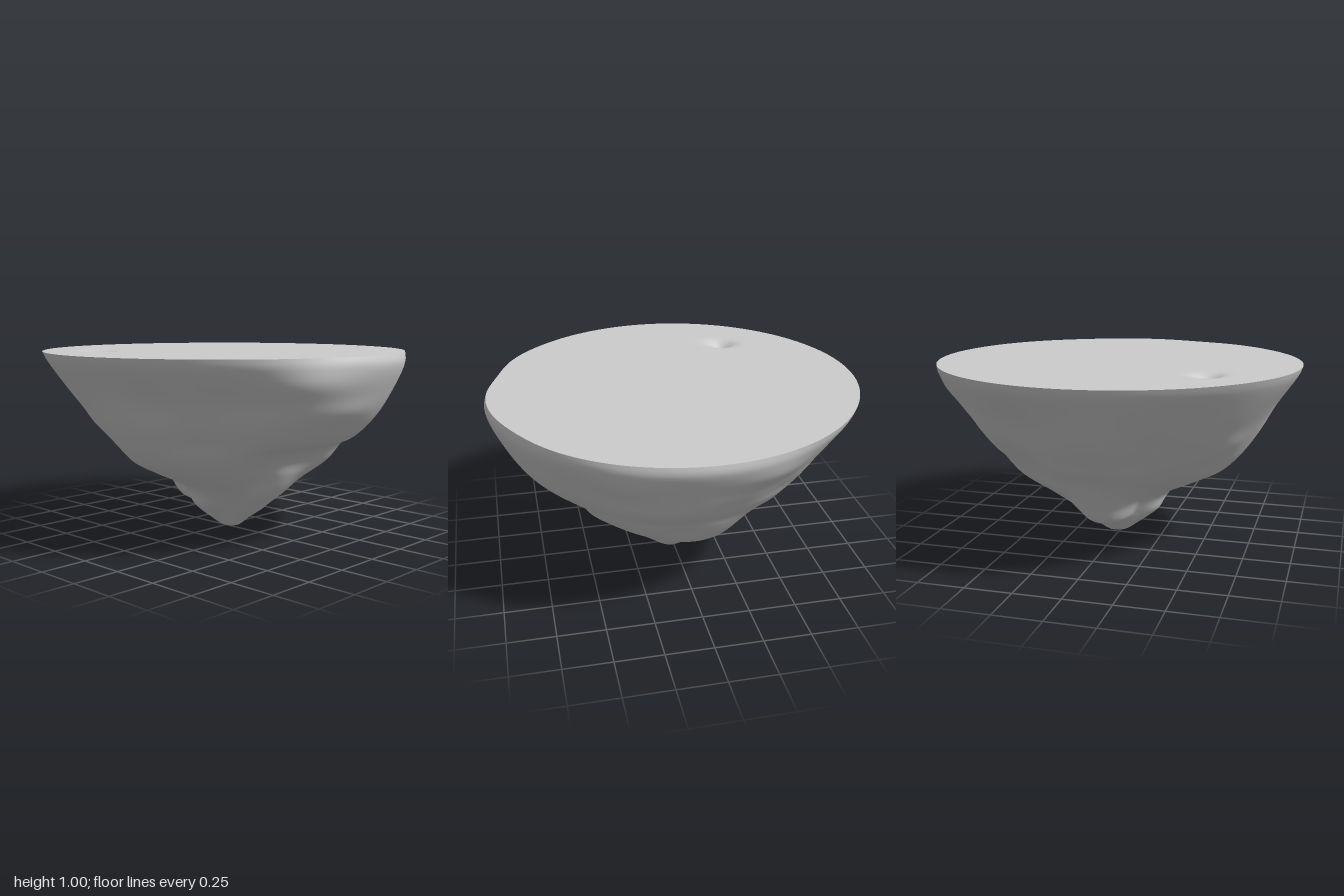
import * as THREE from 'three';

const SEG = 160, RINGS = 80, CAP_RINGS = 70;

// Heights shared by all profiles, rim to tip
const LEVELS = [1, 0.96, 0.8, 0.65, 0.55, 0.5, 0.42, 0.35, 0.25, 0.16, 0.12, 0.06, 0.015, 0];

// Radii at each height, every 45 degrees from +x towards +z
const RADII = [
  [0.985, 0.99, 0.91, 0.83, 0.73, 0.70, 0.64, 0.57, 0.41, 0.27, 0.21, 0.13, 0.06, 0],
  [0.985, 0.985, 0.90, 0.81, 0.72, 0.67, 0.59, 0.50, 0.36, 0.25, 0.20, 0.13, 0.06, 0],
  [0.99, 1.0, 0.94, 0.84, 0.73, 0.60, 0.51, 0.47, 0.40, 0.29, 0.24, 0.14, 0.07, 0],
  [0.98, 0.97, 0.86, 0.77, 0.69, 0.65, 0.57, 0.49, 0.35, 0.24, 0.19, 0.12, 0.06, 0],
  [1.0, 0.985, 0.88, 0.79, 0.72, 0.68, 0.60, 0.47, 0.28, 0.235, 0.19, 0.11, 0.05, 0],
  [1.0, 0.98, 0.86, 0.73, 0.64, 0.59, 0.50, 0.39, 0.25, 0.18, 0.15, 0.09, 0.04, 0],
  [1.0, 0.985, 0.86, 0.74, 0.65, 0.61, 0.53, 0.48, 0.41, 0.34, 0.20, 0.09, 0.04, 0],
  [0.985, 0.97, 0.86, 0.76, 0.65, 0.59, 0.52, 0.46, 0.33, 0.22, 0.17, 0.10, 0.05, 0],
];

// Local swellings and hollows: angle in degrees, height, angular width, height width, amount
const BUMPS = [
  [97, 0.72, 14, 0.06, 0.015], [115, 0.86, 16, 0.07, 0.015], [62, 0.40, 13, 0.08, 0.035],
  [112, 0.32, 10, 0.07, -0.02], [25, 0.85, 12, 0.09, 0.02], [330, 0.67, 9, 0.07, -0.02],
  [340, 0.86, 12, 0.07, 0.02], [350, 0.66, 10, 0.07, -0.015], [322, 0.52, 9, 0.08, 0.03],
  [292, 0.72, 10, 0.16, -0.03], [10, 0.45, 9, 0.08, -0.02], [260, 0.62, 10, 0.22, 0.025],
  [228, 0.45, 14, 0.2, -0.01], [290, 0.35, 10, 0.1, -0.02], [205, 0.62, 9, 0.07, 0.015],
  [162, 0.75, 8, 0.12, -0.02], [107, 1, 12, 0.1, -0.025], [62, 1, 14, 0.08, -0.012],
];

// Smooth periodic interpolation between the eight profiles
function radiusAt(level, angle) {
  const t = (angle / (Math.PI * 2)) * 8;
  const i = Math.floor(t), f = t - i;
  const [a, b, c, d] = [-1, 0, 1, 2].map((k) => RADII[(i + k + 8) % 8][level]);
  return b + 0.5 * f * (c - a + f * (2 * a - 5 * b + 4 * c - d + f * (3 * (b - c) + d - a)));
}

function relief(angle, y) {
  const deg = (angle * 180) / Math.PI;
  let sum = 0.006 * Math.sin(angle * 7 + y * 9) * Math.sin(y * Math.PI);
  for (const [a, h, wa, wh, amount] of BUMPS) {
    const da = ((deg - a + 540) % 360) - 180;
    sum += amount * Math.exp(-((da / wa) ** 2) - ((y - h) / wh) ** 2);
  }
  return sum;
}

// Smooth surface from closed rings of points
function loft(rings, point) {
  const pos = [], index = [];
  for (let j = 0; j <= rings; j++)
    for (let i = 0; i < SEG; i++) pos.push(...point(i, j));
  for (let j = 0; j < rings; j++)
    for (let i = 0; i < SEG; i++) {
      const a = j * SEG + i, b = j * SEG + ((i + 1) % SEG);
      index.push(a, b, a + SEG, b, b + SEG, a + SEG);
    }
  const g = new THREE.BufferGeometry();
  g.setAttribute('position', new THREE.Float32BufferAttribute(pos, 3));
  g.setIndex(index);
  g.computeVertexNormals();
  return g;
}

export function createModel() {
  const group = new THREE.Group();
  group.name = 'floatingIsland';
  const material = new THREE.MeshStandardMaterial({ color: 0xcccccc, side: THREE.DoubleSide });
  const angleOf = (i) => (i / SEG) * Math.PI * 2;

  // One smooth rim-to-tip profile per angle, with the relief added
  const profiles = Array.from({ length: SEG }, (_, i) => {
    const pts = LEVELS.map((y, l) => new THREE.Vector3(radiusAt(l, angleOf(i)), y, 0));
    const curve = new THREE.CatmullRomCurve3(pts, false, 'centripetal');
    return curve.getSpacedPoints(RINGS).map((p) => {
      const y = Math.max(0, p.y);
      return { r: p.x + relief(angleOf(i), y) * Math.min(1, p.x * 4), y };
    });
  });

  // Rocky underside, its tip set slightly forward
  const rock = loft(RINGS, (i, j) => {
    const { r, y } = profiles[i][j];
    const shift = 0.03 * Math.exp(-y / 0.04);
    return [Math.cos(angleOf(i)) * r + shift * 0.3, y, Math.sin(angleOf(i)) * r + shift];
  });
  const underside = new THREE.Mesh(rock, material);
  underside.name = 'rockyUnderside';
  group.add(underside);

  // Flat top with one small hollow
  const cap = loft(CAP_RINGS, (i, j) => {
    const r = profiles[i][0].r * (j / CAP_RINGS);
    const x = Math.cos(angleOf(i)) * r, z = Math.sin(angleOf(i)) * r;
    const d2 = ((x + 0.565) / 0.055) ** 2 + ((z + 0.415) / 0.065) ** 2;
    return [x, 1 - 0.05 * Math.exp(-d2), z];
  });
  const top = new THREE.Mesh(cap, material);
  top.name = 'flatTop';
  group.add(top);
  return group;
}
